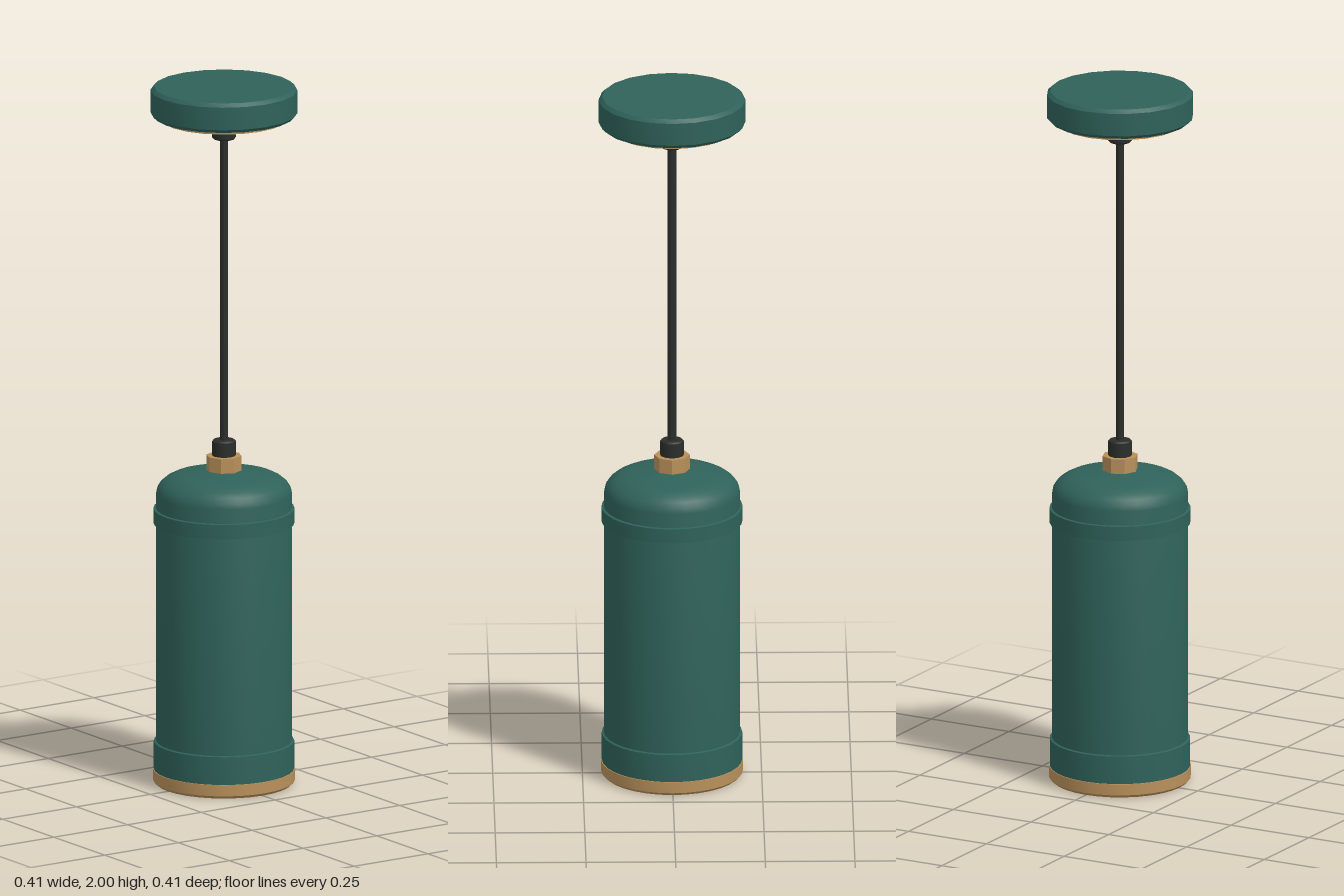
import * as THREE from 'three';
import { toCreasedNormals } from 'three/addons/utils/BufferGeometryUtils.js';

const paint = (name, color) => Object.assign(new THREE.MeshStandardMaterial({ color }), { name });

export function createModel() {
  const green = paint('green enamel', 0x2f625a);
  const brass = paint('brass', 0xb8905a);
  const black = paint('black rubber', 0x2a2e2b);
  const lamp = new THREE.Group();
  lamp.name = 'pendantLamp';

  // Turned part from a [radius, height] profile; crease 0 gives flat facets
  function turn(name, material, sides, profile, crease = 0.6) {
    const points = profile.map(([r, y]) => new THREE.Vector2(r, y));
    const geometry = toCreasedNormals(new THREE.LatheGeometry(points, sides), crease);
    const mesh = new THREE.Mesh(geometry, material);
    mesh.name = name;
    lamp.add(mesh);
    return mesh;
  }

  // Solid disc or rod with small bevels on both rims
  function disc(name, material, sides, r, y0, y1, bevel = 0, crease = 0.6) {
    const profile = bevel
      ? [[0, y0], [r - bevel, y0], [r, y0 + bevel], [r, y1 - bevel], [r - bevel, y1], [0, y1]]
      : [[0, y0], [r, y0], [r, y1], [0, y1]];
    return turn(name, material, sides, profile, crease);
  }

  // Ceiling fitting
  disc('canopy', green, 20, 0.205, 1.915, 2, 0.01);
  disc('canopyPlate', brass, 20, 0.174, 1.905, 1.92);

  // Cord and its two grips
  disc('upperCordGrip', black, 12, 0.033, 1.85, 1.906, 0.004);
  disc('cord', black, 10, 0.012, 0.96, 1.87);
  disc('lowerCordGrip', black, 12, 0.033, 0.935, 0.985, 0.004);
  disc('collarNut', brass, 8, 0.05, 0.885, 0.94, 0, 0.1);

  // Shade with a rounded shoulder
  const shoulder = [];
  for (let i = 0; i <= 6; i++) {
    const a = (i / 6) * Math.PI / 2;
    shoulder.push([0.1 + 0.09 * Math.cos(a), 0.83 + 0.058 * Math.sin(a)]);
  }
  turn('shade', green, 32, [[0.19, 0.03], ...shoulder, [0.05, 0.898], [0, 0.9]]);

  // Raised bands on the shade
  turn('upperBand', green, 32, [[0.188, 0.745], [0.197, 0.747], [0.197, 0.788], [0.188, 0.79]]);
  turn('lowerBand', green, 32, [[0.188, 0.038], [0.196, 0.038], [0.196, 0.12], [0.188, 0.123]]);

  // Open end: trim ring, dark baffle and faceted reflector
  turn('trimRing', brass, 32, [
    [0.165, 0.04], [0.165, 0], [0.19, 0], [0.198, 0.008], [0.198, 0.04], [0.188, 0.042],
  ]);
  turn('baffle', black, 32, [[0.138, 0.06], [0.138, 0.012], [0.166, 0.012]]);
  turn('reflector', brass, 20, [[0, 0.17], [0.06, 0.17], [0.105, 0.11], [0.14, 0.02]], 0.1);

  return lamp;
}
